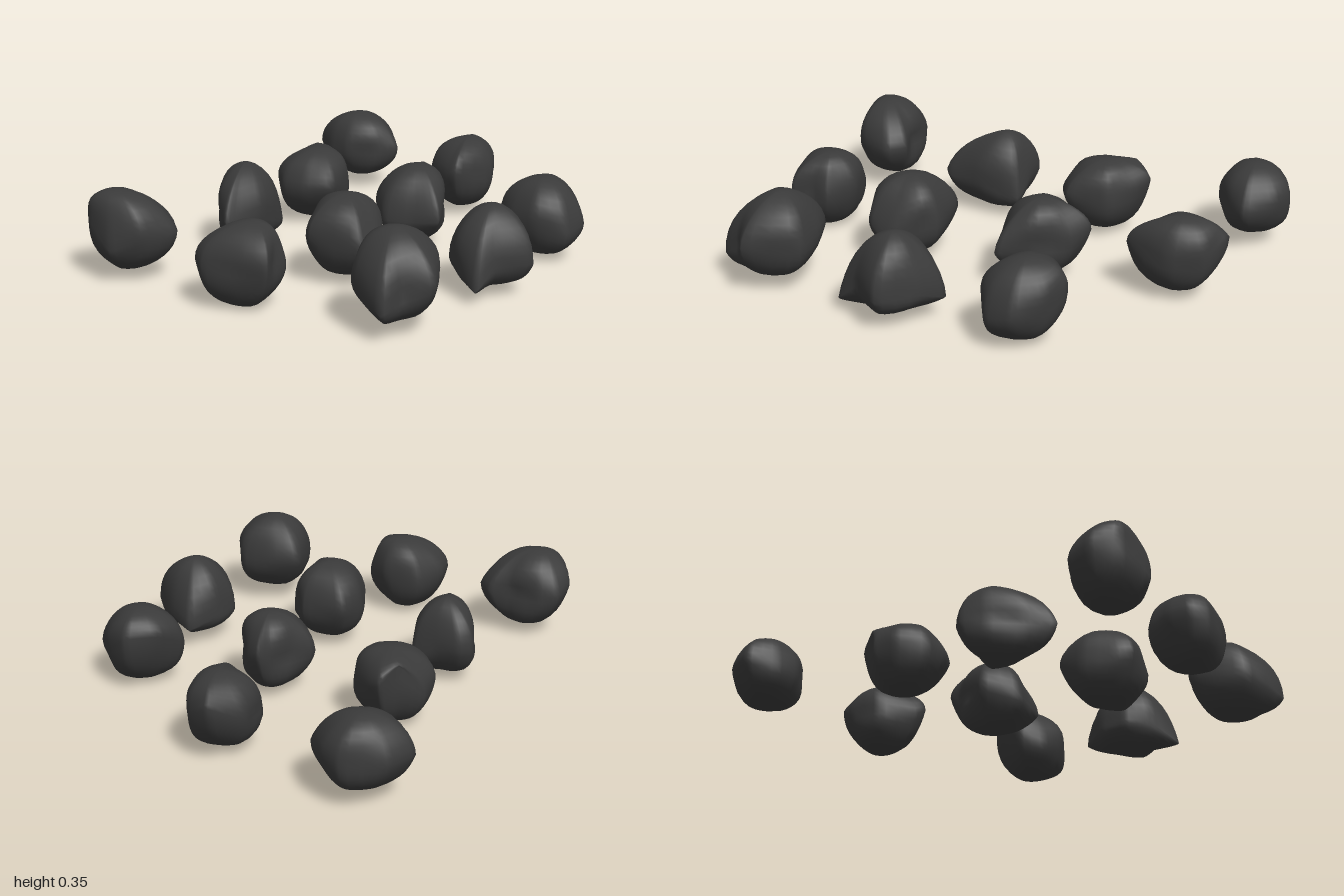
import * as THREE from 'three';
import { mergeVertices } from 'three/addons/utils/BufferGeometryUtils.js';

const stone = new THREE.MeshStandardMaterial({ color: 0x3a3a3a, roughness: 0.9 });

// One boulder: a lumpy girdle outline [x, z, height?] swept down to a base and up to a crown
// above the point [x, z]. A taper above 1 makes the crown more conical.
function rock(index, low, high, waist, taper, crown, outline) {
  const girdle = new THREE.CatmullRomCurve3(
    outline.map(([x, z, y = waist]) => new THREE.Vector3(x, y, z)), true, 'catmullrom', 0.2);
  const cols = outline.length * 4, rows = 18;
  const ring = Array.from({ length: cols }, (_, i) => girdle.getPoint(i / cols));
  const centre = ring.reduce((c, p) => c.add(p), new THREE.Vector3()).divideScalar(cols);
  const arms = ring.map((p) => Math.hypot(p.x - centre.x, p.z - centre.z));
  const meanArm = arms.reduce((a, b) => a + b) / cols;
  const positions = [], faces = [];

  for (let j = 0; j <= rows; j++) {
    const lat = (j / rows - 0.5) * Math.PI;
    const rise = Math.abs(Math.sin(lat));
    const spread = Math.pow(Math.max(0, Math.cos(lat)), lat < 0 ? 0.92 : taper);
    const lean = lat < 0 ? 0 : rise * rise;
    for (let i = 0; i < cols; i++) {
      const p = ring[i];
      const a = Math.atan2(p.z - centre.z, p.x - centre.x);
      // Corners soften towards a round section away from the girdle, with broad dents
      const arm = THREE.MathUtils.lerp(arms[i], meanArm, 0.7 * rise);
      const dent = 1 + 0.06 * Math.sin(2 * lat) * Math.sin(3 * a + index * 1.7 + 2 * lat);
      const r = arm * spread * dent;
      positions.push(
        THREE.MathUtils.lerp(centre.x, crown[0], lean) + Math.cos(a) * r,
        THREE.MathUtils.lerp(p.y, lat < 0 ? low : high, rise),
        THREE.MathUtils.lerp(centre.z, crown[1], lean) + Math.sin(a) * r);
      if (j < rows) {
        const n = (i + 1) % cols, b = j * cols, u = b + cols;
        if (j < rows - 1) faces.push(b + i, u + i, u + n);
        if (j > 0) faces.push(b + i, u + n, b + n);
      }
    }
  }
  let geometry = new THREE.BufferGeometry();
  geometry.setAttribute('position', new THREE.Float32BufferAttribute(positions, 3));
  geometry.setIndex(faces);
  geometry = mergeVertices(geometry, 1e-5);
  geometry.computeVertexNormals();
  const mesh = new THREE.Mesh(geometry, stone);
  mesh.name = `rock${index}`;
  return mesh;
}

export function createModel() {
  const group = new THREE.Group();
  group.name = 'scatteredRocks';
  group.add(
    // Back row
    rock(1, 0.04, 0.31, 0.17, 0.92, [0.53, -0.86], [[0.405, -0.98], [0.53, -1], [0.66, -0.92],
      [0.675, -0.83], [0.64, -0.71], [0.54, -0.72], [0.43, -0.77], [0.395, -0.86]]),
    rock(2, 0.01, 0.29, 0.16, 0.92, [0.16, -0.44], [[0.1, -0.58], [0.19, -0.555, 0.26],
      [0.275, -0.56, 0.21], [0.28, -0.49, 0.18], [0.26, -0.37], [0.14, -0.265], [0.04, -0.32],
      [-0.01, -0.41], [0.02, -0.53]]),
    rock(3, 0.02, 0.32, 0.15, 1.15, [-0.23, -0.24], [[-0.25, -0.38], [-0.19, -0.37], [-0.14, -0.29],
      [-0.095, -0.2, 0.09], [-0.22, -0.1], [-0.34, -0.06, 0.13], [-0.385, -0.06, 0.15],
      [-0.36, -0.18], [-0.31, -0.3]]),
    rock(4, 0.02, 0.3, 0.16, 0.92, [0.77, -0.32], [[0.74, -0.45], [0.875, -0.44, 0.23], [0.89, -0.32],
      [0.82, -0.21], [0.64, -0.17, 0.19], [0.62, -0.22], [0.63, -0.37]]),
    // Middle row
    rock(5, 0.03, 0.33, 0.18, 0.92, [-0.8, -0.04], [[-0.78, -0.205], [-0.72, -0.16], [-0.67, -0.06],
      [-0.6, 0, 0.18], [-0.62, 0.085], [-0.76, 0.115], [-0.865, 0.06, 0.13], [-0.9, -0.07, 0.22],
      [-0.865, -0.17, 0.2]]),
    rock(6, 0.02, 0.31, 0.16, 0.92, [0.38, 0.01], [[0.25, -0.09], [0.36, -0.09], [0.44, -0.1],
      [0.505, -0.115, 0.2], [0.505, -0.03], [0.44, 0.11], [0.37, 0.21, 0.13], [0.29, 0.14, 0.12],
      [0.21, 0.06, 0.12]]),
    rock(7, 0.02, 0.32, 0.17, 0.92, [-0.05, 0.3], [[0, 0.13], [0.09, 0.265], [0.075, 0.33],
      [0.03, 0.44, 0.08], [-0.075, 0.47], [-0.21, 0.34, 0.18], [-0.195, 0.27], [-0.11, 0.165]]),
    rock(8, 0.01, 0.3, 0.16, 0.92, [0.75, 0.33], [[0.745, 0.2, 0.22], [0.86, 0.24, 0.22],
      [0.875, 0.345, 0.15], [0.85, 0.46, 0.14], [0.75, 0.5, 0.12], [0.64, 0.44], [0.6, 0.34, 0.13],
      [0.62, 0.235]]),
    // Front row
    rock(9, 0, 0.3, 0.16, 0.92, [-0.46, 0.42], [[-0.445, 0.275], [-0.355, 0.37], [-0.36, 0.49],
      [-0.42, 0.52], [-0.47, 0.585], [-0.55, 0.52], [-0.645, 0.42], [-0.64, 0.34], [-0.575, 0.285]]),
    rock(10, 0.03, 0.32, 0.12, 1.1, [0.37, 0.62], [[0.35, 0.48], [0.48, 0.48, 0.08], [0.495, 0.6],
      [0.465, 0.755], [0.32, 0.745], [0.23, 0.765, 0.05], [0.225, 0.63], [0.25, 0.53]]),
    rock(11, 0.04, 0.35, 0.19, 1.1, [-0.1, 0.81], [[-0.105, 0.635], [-0.01, 0.7], [0.06, 0.82],
      [-0.04, 1, 0.19], [-0.14, 0.96, 0.15], [-0.23, 0.975, 0.1], [-0.25, 0.79]]),
  );
  return group;
}
